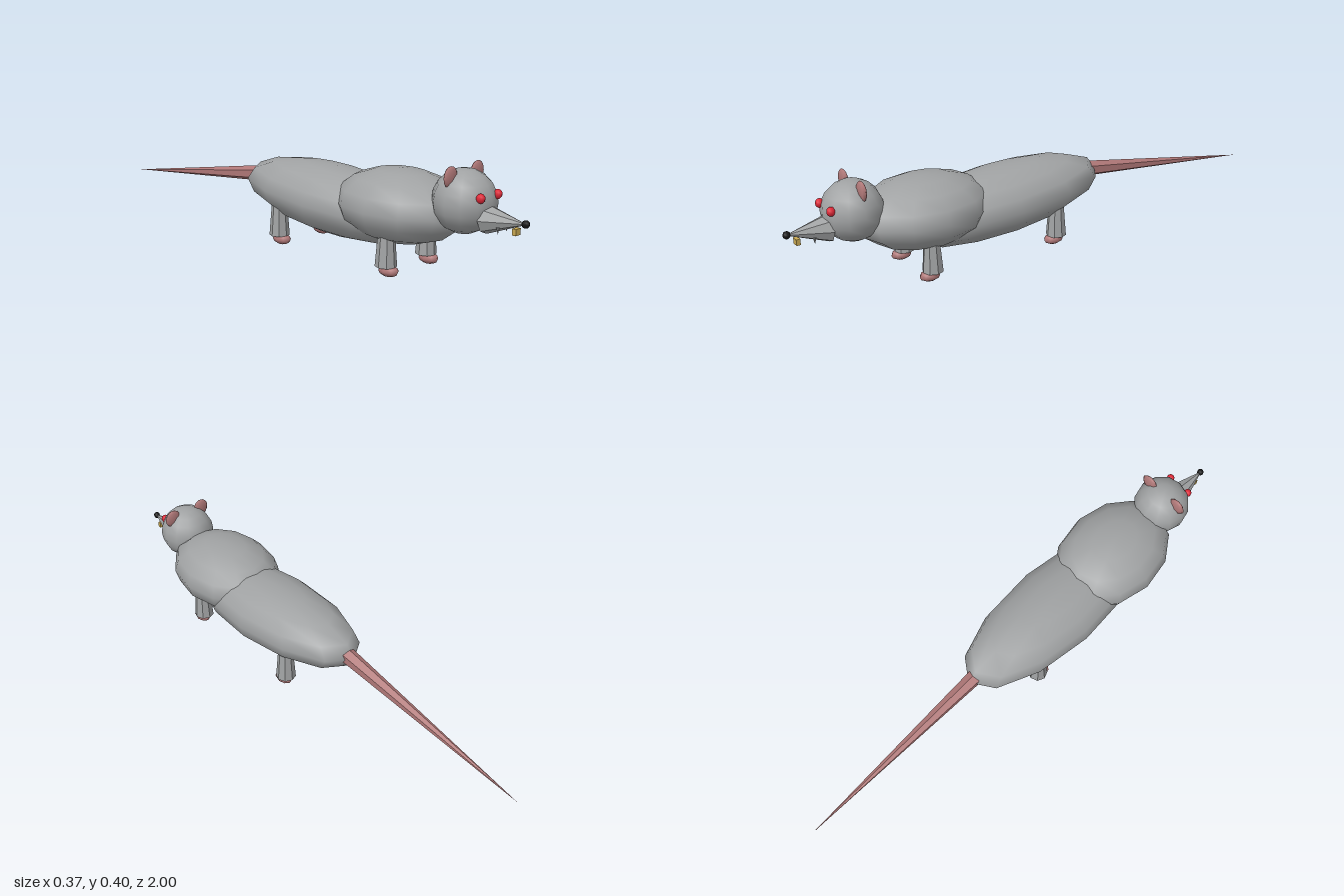
import * as THREE from 'three';

const paint = (name, color) => {
  const m = new THREE.MeshStandardMaterial({ color });
  m.name = name;
  return m;
};

export function createModel() {
  const fur = paint('grey fur', 0xa0a2a3);
  const skin = paint('pink skin', 0xb07878);
  const eyeRed = paint('red eye', 0xe02838);
  const noseBlack = paint('black nose', 0x151515);
  const toothYellow = paint('yellow tooth', 0xc8a852);

  const model = new THREE.Group();
  model.name = 'rodent';

  const add = (name, geometry, material, x, y, z) => {
    const mesh = new THREE.Mesh(geometry, material);
    mesh.name = name;
    mesh.position.set(x, y, z);
    model.add(mesh);
    return mesh;
  };

  // Smooth ellipsoid with coarse segments
  const blob = (name, material, [x, y, z], [rx, ry, rz], w = 12, h = 8) =>
    add(name, new THREE.SphereGeometry(1, w, h).scale(rx, ry, rz), material, x, y, z);

  // Faceted tapered rod running between two points
  const rod = (name, material, from, to, r0, r1, sides) => {
    const a = new THREE.Vector3(...from);
    const b = new THREE.Vector3(...to);
    const dir = b.clone().sub(a);
    const geometry = new THREE.CylinderGeometry(r1, r0, dir.length(), sides).toNonIndexed();
    geometry.computeVertexNormals();
    const mid = a.add(b).multiplyScalar(0.5);
    const mesh = add(name, geometry, material, mid.x, mid.y, mid.z);
    mesh.quaternion.setFromUnitVectors(new THREE.Vector3(0, 1, 0), dir.normalize());
    return mesh;
  };

  // Trunk and head
  blob('body', fur, [0, 0.187, 0.2], [0.169, 0.12, 0.44]).rotation.x = 0.06;
  blob('chest', fur, [0, 0.22, 0.5], [0.187, 0.125, 0.25]);
  blob('head', fur, [0, 0.28, 0.76], [0.105, 0.105, 0.105], 12, 10);

  // Snout, nose and front tooth
  rod('snout', fur, [0, 0.238, 0.845], [0, 0.248, 0.992], 0.048, 0, 8);
  blob('nose', noseBlack, [0, 0.248, 0.987], [0.013, 0.013, 0.013], 8, 6);
  add('frontTooth', new THREE.BoxGeometry(0.025, 0.021, 0.014), toothYellow, 0, 0.219, 0.955);

  // Tail
  rod('tail', skin, [0, 0.213, -0.2], [0, 0.1, -1], 0.03, 0, 6);

  for (const [side, s] of [['left', 1], ['right', -1]]) {
    // Face details
    blob(side + 'Eye', eyeRed, [s * 0.044, 0.31, 0.852], [0.015, 0.016, 0.015], 8, 6);
    blob(side + 'Ear', skin, [s * 0.068, 0.364, 0.754], [0.034, 0.035, 0.011], 8, 8);
    rod(side + 'FrontFang', fur, [s * 0.023, 0.226, 0.905], [s * 0.023, 0.204, 0.905], 0.006, 0, 6);
    rod(side + 'BackFang', fur, [s * 0.029, 0.226, 0.86], [s * 0.029, 0.202, 0.86], 0.006, 0, 6);

    // Legs and feet
    for (const [end, z] of [['Front', 0.53], ['Rear', 0.015]]) {
      rod(side + end + 'Leg', fur, [s * 0.103, 0.034, z], [s * 0.103, 0.16, z], 0.037, 0.027, 8);
      blob(side + end + 'Foot', skin, [s * 0.103, 0.021, z + 0.012], [0.027, 0.02, 0.039], 8, 6);
    }
  }
  return model;
}
